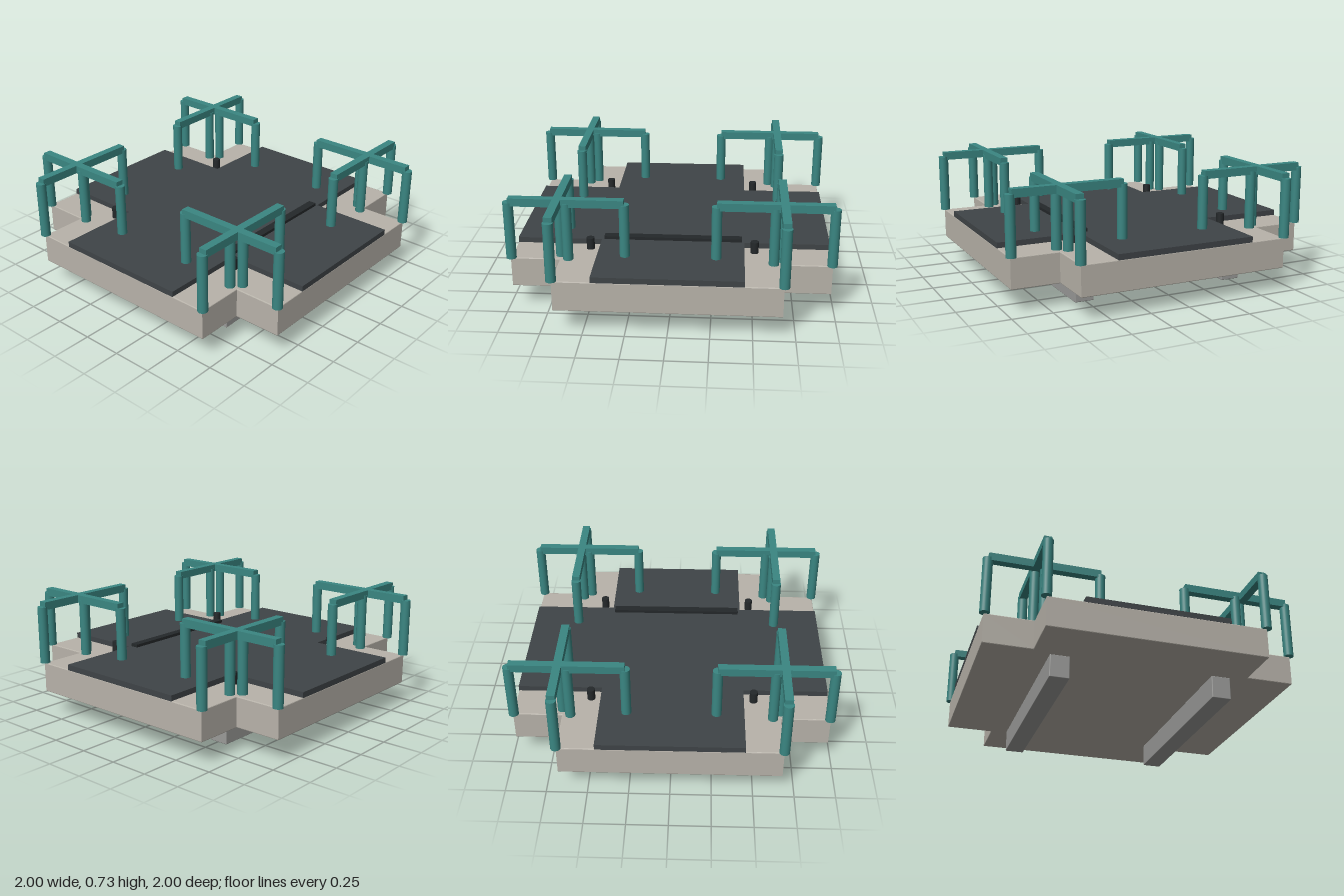
import * as THREE from 'three';
import { RoundedBoxGeometry } from 'three/addons/geometries/RoundedBoxGeometry.js';

const material = (color) => new THREE.MeshStandardMaterial({ color });
const stone = material(0xb8b3aa);
const grey = material(0x9b9b99);
const asphalt = material(0x3f4447);
const black = material(0x24282a);
const teal = material(0x3a8682);

function add(parent, name, geometry, mat, x = 0, y = 0, z = 0) {
  const mesh = new THREE.Mesh(geometry, mat);
  mesh.name = name;
  mesh.position.set(x, y, z);
  parent.add(mesh);
  return mesh;
}

// Plus-shaped slab: reach is the half length, half is the half width of each arm
function crossSlab(reach, half, height, bevel) {
  const points = [];
  for (let i = 0; i < 4; i++) {
    for (const [x, y] of [[reach, -half], [reach, half], [half, half]]) {
      points.push(new THREE.Vector2(x, y).rotateAround(new THREE.Vector2(), i * Math.PI / 2));
    }
  }
  const geometry = new THREE.ExtrudeGeometry(new THREE.Shape(points), {
    depth: height - 2 * bevel,
    bevelEnabled: bevel > 0,
    bevelThickness: bevel,
    bevelSize: bevel,
    bevelOffset: -bevel,
    bevelSegments: 2,
  });
  return geometry.translate(0, 0, bevel).rotateX(-Math.PI / 2);
}

// Three posts carrying one straight rail, running along x
function makeBarrier() {
  const barrier = new THREE.Group();
  barrier.name = 'barrier';
  const post = new THREE.CylinderGeometry(0.031, 0.031, 0.365, 24);
  for (const x of [0.275, 0.62, 0.968]) add(barrier, 'post', post, teal, x, 0.5175, 0);
  add(barrier, 'rail', new THREE.BoxGeometry(0.69, 0.05, 0.05), teal, 0.62, 0.705, 0);
  return barrier;
}

export function createModel() {
  const model = new THREE.Group();
  model.name = 'crossroads';

  // Base slab and road surface
  add(model, 'baseSlab', crossSlab(0.973, 0.672, 0.19, 0.005), stone, 0, 0.143, 0);
  add(model, 'roadSurface', crossSlab(0.973, 0.445, 0.036, 0), asphalt, 0, 0.331, 0);

  // Support beams underneath
  for (const z of [-0.507, 0.507]) {
    add(model, 'supportBeam', new RoundedBoxGeometry(1.284, 0.145, 0.122, 2, 0.005), grey, 0, 0.0725, z);
  }

  // Raised strip across the front arm
  add(model, 'roadStrip', new THREE.BoxGeometry(0.86, 0.025, 0.052), black, 0, 0.3735, 0.415);

  // Corner bollards and crossed barriers
  const bollard = new THREE.CylinderGeometry(0.025, 0.025, 0.075, 24);
  for (const sx of [-1, 1]) {
    for (const sz of [-1, 1]) {
      add(model, 'bollard', bollard, black, sx * 0.507, 0.3685, sz * 0.507);

      const along = makeBarrier();
      along.position.z = sz * 0.672;
      along.rotation.y = sx > 0 ? 0 : Math.PI;
      model.add(along);

      const across = makeBarrier();
      across.position.x = sx * 0.672;
      across.rotation.y = -sz * Math.PI / 2;
      model.add(across);
    }
  }
  return model;
}
